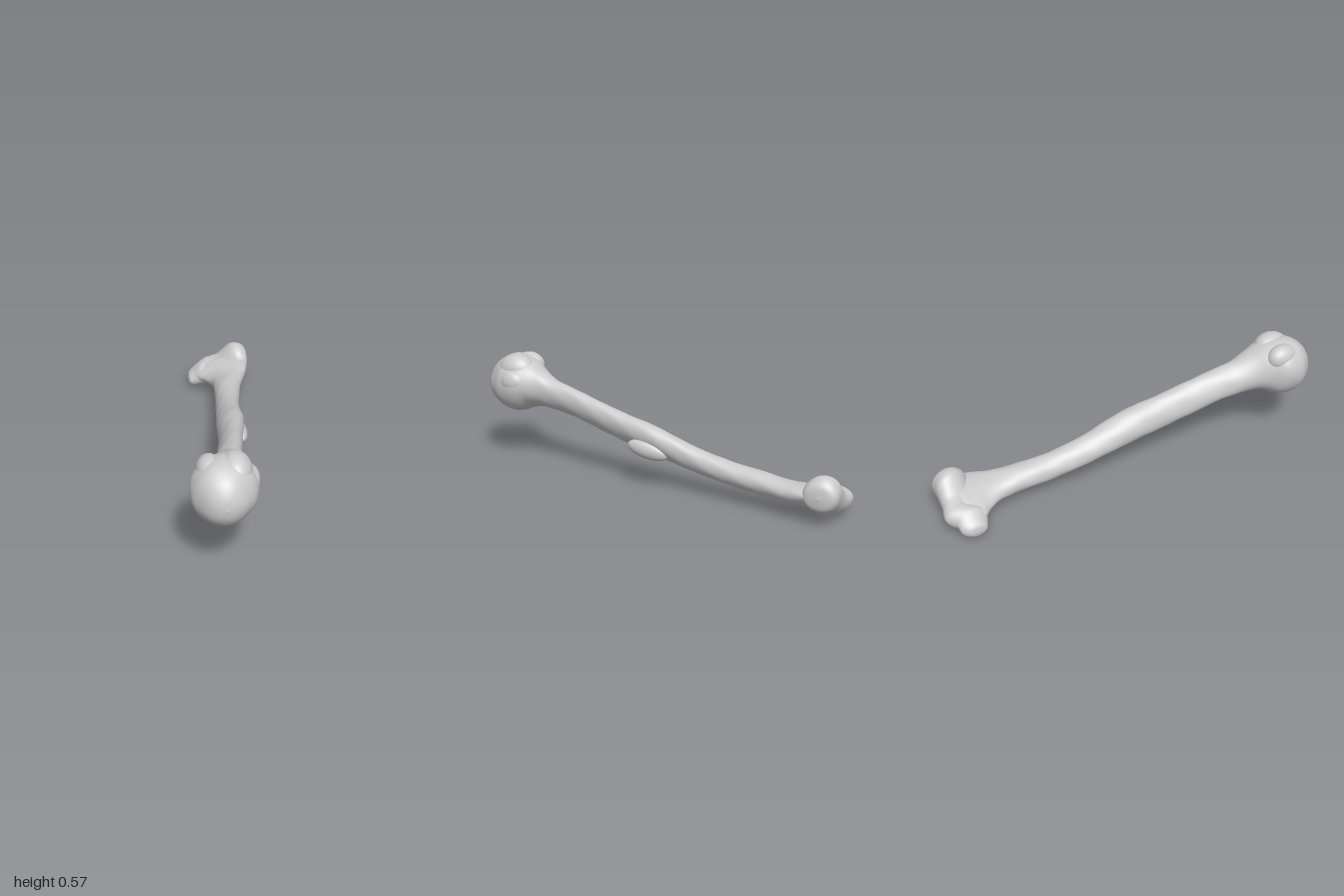
import * as THREE from 'three';

const material = new THREE.MeshStandardMaterial({ color: 0xcccccc });

// Smooth loft through elliptical sections.
// Row: [position, uMin, uMax, vMin, vMax, skew]; place(u, v, position) -> [x, y, z]
function loft(name, rows, place, steps, sides, rough) {
  const curve = (f) => new THREE.CatmullRomCurve3(rows.map((r) => new THREE.Vector3(...f(r))), false, 'catmullrom', 0.5);
  const across = curve((r) => [r[0], r[1], r[2]]);
  const up = curve((r) => [r[3], r[4], r[5]]);
  const positions = [];
  const indices = [];
  for (let i = 0; i <= steps; i++) {
    const p = across.getPoint(i / steps);
    const q = up.getPoint(i / steps);
    const cu = (p.y + p.z) / 2, cv = (q.x + q.y) / 2;
    const ru = Math.max(0, (p.z - p.y) / 2), rv = Math.max(0, (q.y - q.x) / 2);
    for (let j = 0; j < sides; j++) {
      const a = (j / sides) * Math.PI * 2;
      // Shallow twisting ridges and lumps of the bone surface
      const k = 1 + rough * (Math.sin(3 * a + p.x * 9) + 0.7 * Math.sin(5 * a - p.x * 31) + 0.5 * Math.sin(2 * a + p.x * 57));
      positions.push(...place(cu + ru * k * Math.cos(a), cv + rv * k * Math.sin(a + q.z), p.x));
      if (i < steps) {
        const n = (j + 1) % sides;
        const A = i * sides + j, B = i * sides + n, C = A + sides, D = B + sides;
        indices.push(A, C, B, B, C, D);
      }
    }
  }
  const geometry = new THREE.BufferGeometry();
  geometry.setAttribute('position', new THREE.Float32BufferAttribute(positions, 3));
  geometry.setIndex(indices);
  geometry.computeVertexNormals();
  const mesh = new THREE.Mesh(geometry, material);
  mesh.name = name;
  return mesh;
}

// Rounded swelling that merges into the main body
function swelling(name, center, radii, tilt = 0) {
  const mesh = new THREE.Mesh(new THREE.SphereGeometry(1, 32, 24), material);
  mesh.name = name;
  mesh.position.set(...center);
  mesh.scale.set(...radii);
  mesh.rotation.x = tilt;
  return mesh;
}

export function createModel() {
  const group = new THREE.Group();
  group.name = 'armBone';

  // Ball head: z, x range, y range, skew
  const headRows = [
    [1.0, -0.1, -0.1, 0.4, 0.4, 0],
    [0.99, -0.145, -0.055, 0.352, 0.45, 0],
    [0.965, -0.185, -0.015, 0.312, 0.495, 0],
    [0.93, -0.215, 0.015, 0.285, 0.53, 0],
    [0.89, -0.238, 0.042, 0.267, 0.553, 0],
    [0.84, -0.246, 0.058, 0.261, 0.56, 0],
    [0.79, -0.234, 0.058, 0.268, 0.558, 0],
    [0.74, -0.2, 0.043, 0.292, 0.54, 0.05],
  ];
  // Long shaft, flaring towards the elbow end
  const shaftRows = [
    [0.68, -0.155, 0.027, 0.305, 0.505, 0.1],
    [0.6, -0.12, 0.022, 0.3, 0.465, 0.2],
    [0.5, -0.095, 0.03, 0.285, 0.44, 0.25],
    [0.4, -0.075, 0.045, 0.26, 0.415, 0.3],
    [0.2, -0.045, 0.075, 0.208, 0.365, 0.3],
    [0.0, -0.03, 0.105, 0.165, 0.32, 0.25],
    [-0.2, -0.01, 0.115, 0.12, 0.252, 0.2],
    [-0.4, 0.01, 0.135, 0.085, 0.207, 0.15],
    [-0.6, 0.025, 0.17, 0.066, 0.185, 0.15],
    [-0.7, 0.023, 0.2, 0.06, 0.173, 0.25],
    [-0.77, -0.005, 0.225, 0.055, 0.172, 0.4],
    [-0.83, -0.05, 0.235, 0.05, 0.175, 0.55],
    [-0.89, -0.04, 0.22, 0.06, 0.175, 0.6],
    [-0.92, 0.08, 0.08, 0.12, 0.12, 0.6],
  ];
  group.add(loft('shaftAndHead', [...headRows, ...shaftRows], (u, v, s) => [u, v, s], 200, 56, 0.012));

  // Slanted elbow joint: x, z range, y range, skew
  const jointRows = [
    [-0.094, -0.88, -0.88, 0.05, 0.05, 0],
    [-0.086, -0.925, -0.838, 0.022, 0.08, 0],
    [-0.06, -0.955, -0.82, 0.008, 0.105, 0],
    [-0.025, -0.965, -0.805, 0.018, 0.135, 0],
    [0.01, -0.995, -0.805, 0.02, 0.145, -0.1],
    [0.04, -0.997, -0.82, 0.004, 0.15, -0.2],
    [0.08, -0.985, -0.82, 0.008, 0.168, -0.2],
    [0.12, -0.98, -0.82, 0.022, 0.208, -0.15],
    [0.15, -0.98, -0.815, 0.04, 0.236, -0.1],
    [0.18, -0.98, -0.81, 0.058, 0.243, 0],
    [0.21, -0.977, -0.81, 0.072, 0.234, 0],
    [0.236, -0.955, -0.825, 0.095, 0.205, 0],
    [0.246, -0.89, -0.89, 0.15, 0.15, 0],
  ];
  group.add(loft('elbowJoint', jointRows, (u, v, s) => [s, v, u], 80, 40, 0.008));

  // Two knobs on top of the head with a groove between, and the muscle ridge mid-shaft
  group.add(
    swelling('greaterKnob', [-0.045, 0.49, 0.82], [0.075, 0.083, 0.1], 0.1),
    swelling('lesserKnob', [-0.155, 0.49, 0.81], [0.06, 0.07, 0.085], 0.1),
    swelling('sideKnob', [0.02, 0.44, 0.81], [0.044, 0.06, 0.07]),
    swelling('muscleRidge', [0.085, 0.205, 0.02], [0.035, 0.045, 0.11], -0.18),
  );
  return group;
}
